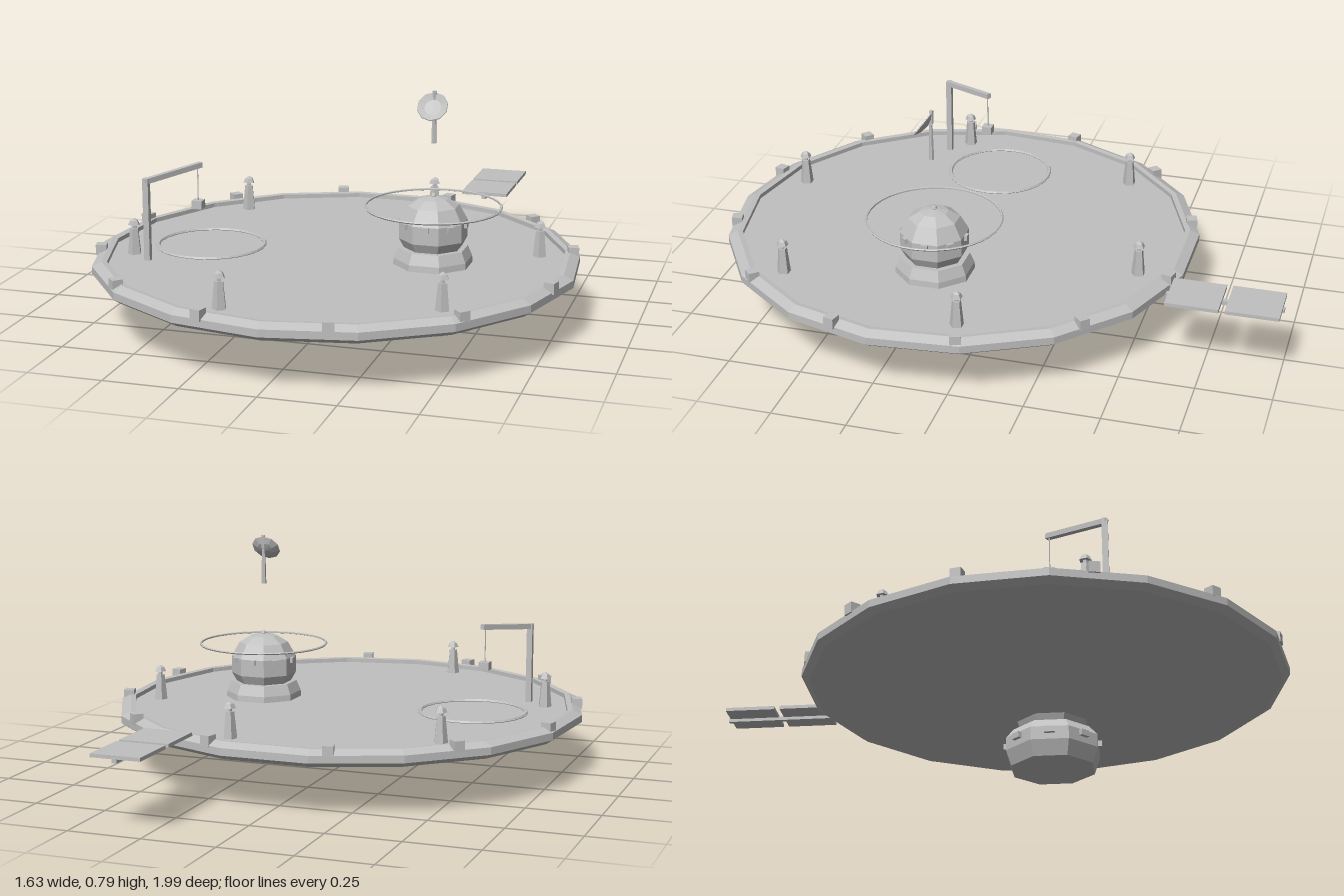
import * as THREE from 'three';

export function createModel() {
  const model = new THREE.Group();
  const grey = new THREE.MeshStandardMaterial({ color: 0xc0c0c0, flatShading: true });
  grey.name = 'stationGrey';

  const CZ = 0.17;      // centre of the deck in z
  const TX = 0.333;     // tower position in x
  const Y = new THREE.Vector3(0, 1, 0);

  const add = (parent, name, geo, x = 0, y = 0, z = 0) => {
    const m = new THREE.Mesh(geo, grey);
    m.name = name;
    m.position.set(x, y, z);
    parent.add(m);
    return m;
  };
  const group = (name, x, z) => {
    const g = new THREE.Group();
    g.name = name;
    g.position.set(x, 0, z);
    model.add(g);
    return g;
  };
  const lathe = (pts, sides, phase = 0) =>
    new THREE.LatheGeometry(pts.map(p => new THREE.Vector2(...p)), sides, phase);
  const box = (w, h, d) => new THREE.BoxGeometry(w, h, d);

  // Seventeen-sided deck with a raised, chamfered rim
  const deck = group('deck', 0, CZ);
  add(deck, 'deckPlate', lathe([
    [0, 0.167], [0.795, 0.167], [0.82, 0.184], [0.82, 0.209],
    [0.788, 0.224], [0.77, 0.222], [0.77, 0.207], [0, 0.207]], 17));

  // Mooring blocks around the rim
  for (let i = 0; i < 12; i++) {
    const a = (15 + 30 * i) * Math.PI / 180;
    add(deck, 'rimBlock', box(0.036, 0.036, 0.036),
      0.795 * Math.sin(a), 0.222, 0.795 * Math.cos(a)).rotation.y = a;
  }

  // Six lamp posts with domed caps
  for (let i = 0; i < 6; i++) {
    const a = (-15 + 60 * i) * Math.PI / 180;
    const post = new THREE.Group();
    post.name = 'lampPost';
    post.position.set(0.683 * Math.cos(a), 0, 0.683 * Math.sin(a));
    deck.add(post);
    add(post, 'postBody', new THREE.CylinderGeometry(0.015, 0.024, 0.09, 5), 0, 0.251, 0);
    add(post, 'postNeck', new THREE.CylinderGeometry(0.008, 0.008, 0.02, 5), 0, 0.303, 0);
    add(post, 'postCap', lathe([[0, 0.307], [0.021, 0.307], [0.014, 0.322], [0, 0.331]], 5));
  }

  // Landing circle on the deck
  const pad = add(deck, 'landingCircle', new THREE.TorusGeometry(0.183, 0.007, 6, 28), -0.45, 0.209, 0);
  pad.rotation.x = Math.PI / 2;

  // Octagonal tower passing through the deck; radii given to the flat sides
  const tower = group('tower', TX, CZ);
  const octagon = pts => lathe(pts.map(([r, y]) => [r / Math.cos(Math.PI / 8), y]), 8, Math.PI / 8);
  add(tower, 'lowerPod', octagon([
    [0, 0], [0.142, 0], [0.16, 0.055], [0.16, 0.102], [0.132, 0.137], [0, 0.137]]));
  add(tower, 'lowerNeck', octagon([[0.106, 0.13], [0.122, 0.17]]));
  add(tower, 'collar', octagon([[0.124, 0.2], [0.122, 0.228], [0.108, 0.264], [0, 0.264]]));
  add(tower, 'upperPod', octagon([
    [0, 0.26], [0.088, 0.26], [0.106, 0.295], [0.106, 0.355], [0.08, 0.405],
    [0.045, 0.428], [0, 0.438]]));
  add(tower, 'topKnob', new THREE.SphereGeometry(0.01, 6, 4), 0, 0.438, 0);

  // Window boxes on every face of both pods
  for (let i = 0; i < 8; i++) {
    const a = i * Math.PI / 4;
    for (const [name, r, y, w, h, d] of [
      ['lowerWindow', 0.163, 0.087, 0.036, 0.021, 0.022],
      ['upperWindow', 0.106, 0.346, 0.024, 0.018, 0.02]]) {
      add(tower, name, box(w, h, d), r * Math.sin(a), y, r * Math.cos(a)).rotation.y = a;
    }
  }

  // Floating ring around the tower head
  const halo = add(tower, 'floatingRing', new THREE.TorusGeometry(0.225, 0.004, 5, 36), 0, 0.401, 0);
  halo.rotation.x = Math.PI / 2;

  // Antenna: mast, tilted dish and feed
  const antenna = group('antenna', TX, CZ);
  add(antenna, 'antennaMast', new THREE.CylinderGeometry(0.006, 0.009, 0.125, 6), 0, 0.678, 0.005);
  const dish = add(antenna, 'dish', lathe([
    [0, -0.012], [0.03, -0.007], [0.052, 0.004], [0.05, 0.007], [0.028, -0.002], [0, -0.007]], 10),
    0, 0.739, 0.025);
  dish.rotation.x = 0.94;
  add(antenna, 'dishFeed', new THREE.CylinderGeometry(0.007, 0.006, 0.045, 6), 0, 0.766, 0.002);

  // Crane: post, sloping arm, cable and load
  const crane = group('crane', -0.587, 0.407);
  add(crane, 'cranePost', box(0.02, 0.285, 0.02), 0, 0.345, 0);
  const from = new THREE.Vector3(0, 0.478, 0);
  const to = new THREE.Vector3(0.117, 0.498, -0.185);
  const dir = to.clone().sub(from);
  const arm = add(crane, 'craneArm', box(0.018, 0.018, dir.length() + 0.015));
  arm.position.copy(from).add(to).multiplyScalar(0.5);
  arm.lookAt(to.clone().multiplyScalar(2));
  arm.quaternion.setFromUnitVectors(new THREE.Vector3(0, 0, 1),
    new THREE.Vector3(0, dir.y, Math.hypot(dir.x, dir.z)).normalize());
  arm.quaternion.premultiply(new THREE.Quaternion().setFromAxisAngle(Y, Math.atan2(dir.x, dir.z)));
  add(crane, 'craneCable', new THREE.CylinderGeometry(0.002, 0.002, 0.125, 5), 0.112, 0.432, -0.183);
  add(crane, 'craneLoad', box(0.036, 0.028, 0.036), 0.112, 0.362, -0.183);

  // Solar array on a boom behind the deck
  const array = group('solarArray', TX, 0);
  add(array, 'arrayBoom', box(0.016, 0.014, 0.385), 0, 0.234, -0.8075);
  for (const z of [-0.712, -0.907]) {
    add(array, 'solarPanel', box(0.17, 0.012, 0.175), 0, 0.244, z);
  }
  return model;
}
